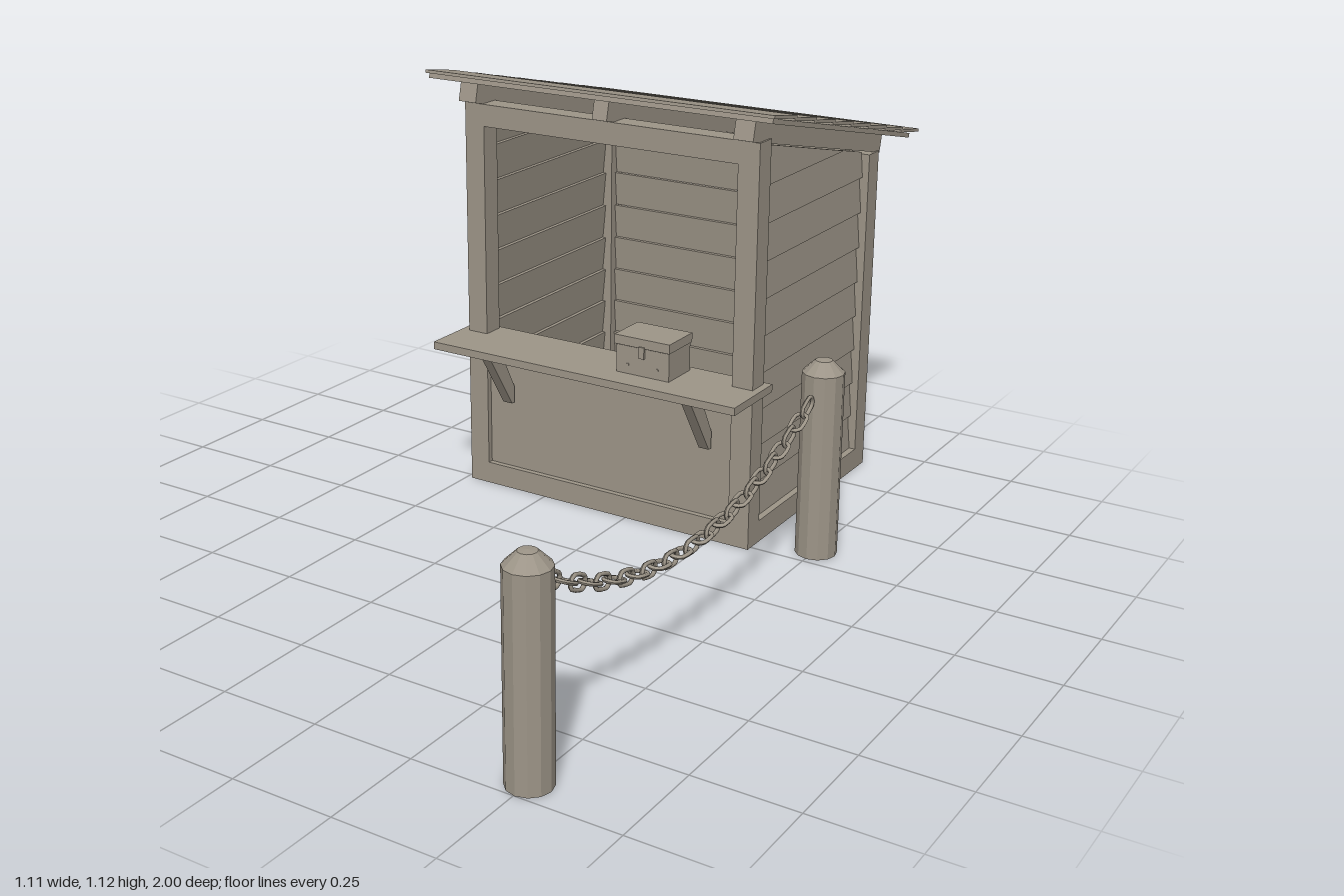
import * as THREE from 'three';

export function createModel() {
  const wood = new THREE.MeshStandardMaterial({ color: 0x9d9588 });
  wood.name = 'weathered grey';
  const model = new THREE.Group();
  model.name = 'ticketBooth';

  const add = (name, geometry, parent = model) => {
    const mesh = new THREE.Mesh(geometry, wood);
    mesh.name = name;
    parent.add(mesh);
    return mesh;
  };
  // Box given by its limits on each axis
  const block = (name, x0, x1, y0, y1, z0, z1, parent = model) => {
    const mesh = add(name, new THREE.BoxGeometry(x1 - x0, y1 - y0, z1 - z0), parent);
    mesh.position.set((x0 + x1) / 2, (y0 + y1) / 2, (z0 + z1) / 2);
    return mesh;
  };

  // Hut limits
  const L = -0.485, R = 0.357, F = -0.233, B = -0.906, P = 0.057;
  const slope = 0.236, pitch = Math.atan(slope);
  const rafterBottom = (z) => 1.039 + slope * (z + 0.217);

  // Corner posts and frame beams
  for (const x of [L, R - P]) {
    block('frontPost', x, x + P, 0, 1.033, F - P, F);
    block('backPost', x, x + P, 0, 0.88, B, B + P);
    block('sideSill', x, x + P, 0, 0.058, B + P, F - P);
  }
  block('frontSill', L + P, R - P, 0, 0.058, F - P, F);
  block('backSill', L + P, R - P, 0, 0.058, B, B + P);
  block('frontLintel', L + P, R - P, 0.976, 1.033, F - P, F);
  block('backLintel', L + P, R - P, 0.83, 0.885, B, B + P);
  block('floor', L + P, R - P, 0.046, 0.058, B + P, F - P);
  block('frontPanel', L + P, R - P, 0.058, 0.4, F - 0.035, F - 0.015);

  // Clapboard walls: each board leans out at its foot and is cut off along the height line
  const boardHeight = 0.095;
  const wall = (name, s0, s1, height, count) => {
    const group = new THREE.Group();
    group.name = name;
    for (let i = 0; i < count; i++) {
      const y0 = 0.058 + i * boardHeight, y1 = y0 + boardHeight - 0.001;
      const corners = [[s0, y0], [s1, y0], [s1, y1], [s0, y1]];
      const points = [];
      corners.forEach((a, k) => {
        const b = corners[(k + 1) % 4];
        const da = height(a[0]) - a[1], db = height(b[0]) - b[1];
        if (da >= 0) points.push(new THREE.Vector2(...a));
        if (da * db < 0) {
          const t = da / (da - db);
          points.push(new THREE.Vector2(a[0] + (b[0] - a[0]) * t, a[1] + (b[1] - a[1]) * t));
        }
      });
      if (points.length < 3) continue;
      const geo = new THREE.ExtrudeGeometry(new THREE.Shape(points), { depth: 0.012, bevelEnabled: false });
      const pos = geo.attributes.position;
      for (let v = 0; v < pos.count; v++) {
        pos.setZ(v, pos.getZ(v) + 0.009 * (y1 - pos.getY(v)) / boardHeight);
      }
      geo.computeVertexNormals();
      add('wallBoard', geo, group);
    }
    model.add(group);
    return group;
  };
  const left = wall('leftWall', -(F - P), -(B + P), (s) => rafterBottom(-s) - 0.005, 11);
  left.rotation.y = Math.PI / 2;
  left.position.x = R - 0.038;
  const right = wall('rightWall', B + P, F - P, (s) => rafterBottom(s) - 0.005, 11);
  right.rotation.y = -Math.PI / 2;
  right.position.x = L + 0.038;
  const back = wall('backWall', -(R - P), -(L + P), () => 2, 8);
  back.rotation.y = Math.PI;
  back.position.z = B + 0.038;

  // Sloping roof: rafters, sheet and overlapping boards
  const roof = new THREE.Group();
  roof.name = 'roof';
  roof.position.set(0, 1.087, -0.217);
  roof.rotation.x = -pitch;
  model.add(roof);
  for (const [x0, x1] of [[-0.485, -0.433], [-0.088, -0.046], [0.3, 0.352]]) {
    block('rafter', x0, x1, -0.048, 0, -0.735, 0, roof);
  }
  block('roofSheet', -0.55, 0.419, 0, 0.012, -0.755, 0.048, roof);
  for (let i = 0; i < 8; i++) {
    const z1 = 0.057 - i * 0.1053;
    const board = block('roofBoard', -0.557, 0.426, 0.015, 0.023, z1 - 0.117, z1, roof);
    board.rotation.x = 0.06;
  }

  // Counter with two slanting braces
  block('counter', -0.507, 0.376, 0.402, 0.422, -0.3, -0.106);
  for (const x of [-0.375, 0.215]) {
    const profile = [[0.135, 0.392], [0.16, 0.402], [0.18, 0.402], [0.24, 0.29], [0.24, 0.245], [0.228, 0.245]];
    const shape = new THREE.Shape(profile.map(([s, y]) => new THREE.Vector2(s, y)));
    const geo = new THREE.ExtrudeGeometry(shape, { depth: 0.028, bevelEnabled: false });
    geo.rotateY(Math.PI / 2);
    add('counterBrace', geo).position.x = x;
  }

  // Cash box with lid, clasp and rivets
  block('cashBox', 0.007, 0.157, 0.422, 0.494, -0.278, -0.174);
  block('cashBoxLid', 0.003, 0.16, 0.496, 0.52, -0.282, -0.17);
  block('cashBoxCore', 0.012, 0.152, 0.49, 0.5, -0.273, -0.179);
  block('clasp', 0.074, 0.09, 0.47, 0.5, -0.172, -0.166);
  for (const x of [0.04, 0.124]) {
    const rivet = add('rivet', new THREE.CylinderGeometry(0.004, 0.004, 0.004, 8));
    rivet.rotation.x = Math.PI / 2;
    rivet.position.set(x, 0.446, -0.173);
  }

  // Bollards with bevelled caps
  const postX = 0.503;
  const profile = [[0, 0], [0.052, 0], [0.052, 0.475], [0.021, 0.505], [0, 0.507]];
  for (const z of [0.948, -0.317]) {
    const geo = new THREE.LatheGeometry(profile.map(([r, y]) => new THREE.Vector2(r, y)), 12).toNonIndexed();
    geo.computeVertexNormals();
    add('bollard', geo).position.set(postX, 0, z);
  }

  // Hanging chain of alternating upright and flat links
  const link = new THREE.TorusGeometry(0.0165, 0.005, 6, 16);
  const p = link.attributes.position;
  for (let v = 0; v < p.count; v++) {
    const x = p.getX(v);
    if (Math.abs(x) > 1e-4) p.setX(v, x + Math.sign(x) * 0.0115);
  }
  link.rotateY(-Math.PI / 2);
  link.computeVertexNormals();
  const chain = new THREE.Group();
  chain.name = 'chain';
  model.add(chain);
  for (let i = 0; i < 25; i++) {
    const u = (12 - i) * 0.0458;
    const mesh = add('chainLink', link, chain);
    mesh.position.set(postX, 0.265 + 0.48 * u * u, 0.315 + u);
    mesh.rotation.set(-Math.atan(0.96 * u), 0, i % 2 ? Math.PI / 2 : 0);
  }

  return model;
}
